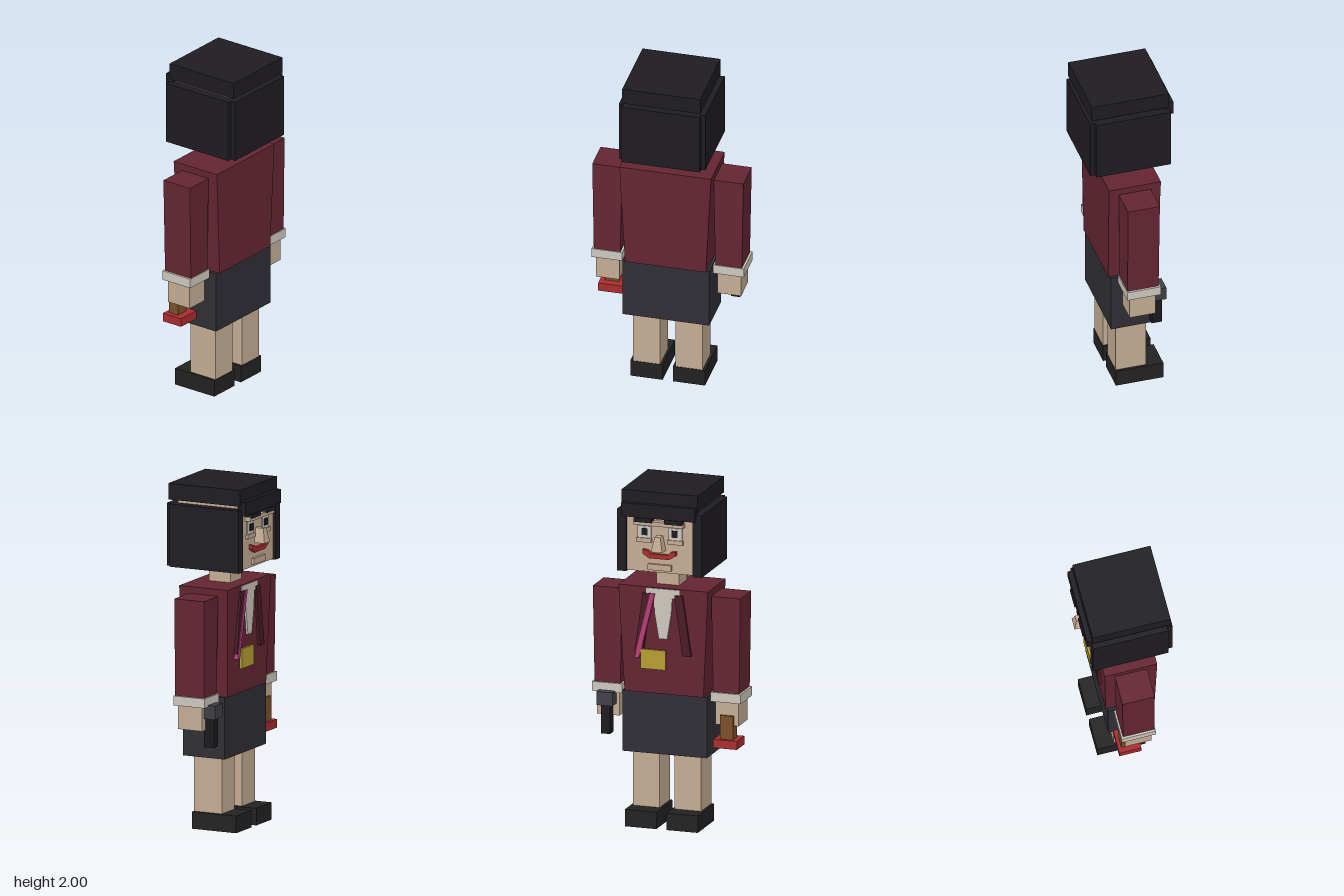
import * as THREE from 'three';

const COLORS = {
  hair: 0x1e1c22, skin: 0xc4ac93, jacket: 0x642533, lapel: 0x4a1a26, skirt: 0x2f2e35,
  shoe: 0x222222, white: 0xcdc8be, red: 0xa82c2f, brown: 0x7a5028, gold: 0xb89e32,
  pink: 0xb83c78, grey: 0x3f4047, black: 0x1b1b1e,
};
const mats = {};
const mat = (c) => (mats[c] ??= new THREE.MeshStandardMaterial({ color: COLORS[c], flatShading: true }));

export function createModel() {
  const model = new THREE.Group();

  const add = (name, geo, color) => {
    const mesh = new THREE.Mesh(geo, mat(color));
    mesh.name = name;
    model.add(mesh);
    return mesh;
  };

  // Box given by its extents on each axis
  const box = (name, color, [x0, x1], [y0, y1], [z0, z1]) => {
    const geo = new THREE.BoxGeometry(Math.abs(x1 - x0), y1 - y0, z1 - z0);
    geo.translate((x0 + x1) / 2, (y0 + y1) / 2, (z0 + z1) / 2);
    return add(name, geo, color);
  };

  // Box whose bottom face has different x and z extents from its top face
  const taper = (name, color, [y0, y1], top, bottom) => {
    const geo = new THREE.BoxGeometry(1, 1, 1);
    const p = geo.attributes.position;
    for (let i = 0; i < p.count; i++) {
      const [x0, x1, z0, z1] = p.getY(i) > 0 ? top : bottom;
      p.setXYZ(i, p.getX(i) > 0 ? x1 : x0, p.getY(i) > 0 ? y1 : y0, p.getZ(i) > 0 ? z1 : z0);
    }
    geo.computeVertexNormals();
    return add(name, geo, color);
  };

  // Flat outline in x and y, extruded between two depths
  const plate = (name, color, points, [z0, z1]) => {
    const shape = new THREE.Shape(points.map(([x, y]) => new THREE.Vector2(x, y)));
    const geo = new THREE.ExtrudeGeometry(shape, { depth: z1 - z0, bevelEnabled: false });
    geo.translate(0, 0, z0);
    return add(name, geo, color);
  };

  // Slanted strip of constant width between two heights
  const strip = (name, color, [xt, yt], [xb, yb], w, z) =>
    plate(name, color, [[xb - w, yb], [xb + w, yb], [xt + w, yt], [xt - w, yt]], z);

  // Head, neck and hair
  box('head', 'skin', [-0.2, 0.2], [1.525, 1.915], [-0.2, 0.205]);
  box('neck', 'skin', [-0.068, 0.068], [1.4, 1.53], [-0.065, 0.072]);
  box('hairTop', 'hair', [-0.23, 0.23], [1.905, 2], [-0.21, 0.25]);
  box('hairBack', 'hair', [-0.23, 0.23], [1.52, 1.885], [0.19, 0.26]);
  box('fringe', 'hair', [-0.222, 0.222], [1.85, 1.93], [-0.24, -0.19]);

  // Face centre line
  taper('nose', 'skin', [1.66, 1.745], [-0.017, 0.017, -0.25, -0.19], [-0.034, 0.034, -0.265, -0.19]);
  box('browRidge', 'skin', [-0.15, 0.15], [1.805, 1.83], [-0.235, -0.19]);
  plate('lips', 'red', [
    [-0.1, 1.635], [-0.06, 1.61], [0.06, 1.61], [0.1, 1.635], [0.1, 1.66],
    [0.07, 1.655], [0.05, 1.637], [-0.05, 1.637], [-0.07, 1.655], [-0.1, 1.66],
  ], [-0.222, -0.19]);
  box('chin', 'skin', [-0.07, 0.07], [1.54, 1.575], [-0.217, -0.19]);

  // Clothing of the body
  taper('jacket', 'jacket', [0.79, 1.42], [-0.27, 0.27, -0.15, 0.16], [-0.238, 0.238, -0.135, 0.155]);
  box('skirt', 'skirt', [-0.255, 0.255], [0.43, 0.79], [-0.125, 0.143]);
  plate('shirtFront', 'white', [
    [-0.025, 1.12], [0.025, 1.12], [0.05, 1.27], [0.055, 1.36], [0.1, 1.385],
    [0.1, 1.415], [-0.1, 1.415], [-0.1, 1.385], [-0.055, 1.36], [-0.05, 1.27],
  ], [-0.155, -0.13]);

  // Mirrored parts
  for (const s of [-1, 1]) {
    const mx = (a, b) => (s > 0 ? [a, b] : [-b, -a]);
    box('sideHair', 'hair', mx(0.2, 0.255), [1.52, 1.885], [-0.215, 0.23]);
    box('eyebrow', 'hair', mx(0.038, 0.145), [1.825, 1.85], [-0.247, -0.19]);
    box('eye', 'white', mx(0.053, 0.133), [1.725, 1.795], [-0.208, -0.19]);
    box('pupil', 'black', mx(0.073, 0.108), [1.742, 1.782], [-0.214, -0.19]);
    box('lowerEyelid', 'skin', mx(0.05, 0.14), [1.7, 1.725], [-0.216, -0.19]);

    strip('lapel', 'lapel', [s * 0.095, 1.385], [s * 0.145, 1.03], 0.025, [-0.16, -0.125]);

    taper('sleeve', 'jacket', [0.81, 1.38], [...mx(0.27, 0.445), -0.09, 0.1], [...mx(0.28, 0.436), -0.085, 0.1]);
    box('cuff', 'white', mx(0.268, 0.449), [0.76, 0.815], [-0.095, 0.105]);
    box('hand', 'skin', mx(0.29, 0.428), [0.62, 0.77], [-0.07, 0.085]);
    box('leg', 'skin', mx(0.045, 0.205), [0.08, 0.44], [-0.08, 0.1]);
    box('shoe', 'shoe', mx(0.03, 0.22), [0, 0.1], [-0.18, 0.103]);
  }

  // Lanyard and badge
  strip('lanyard', 'pink', [0.06, 1.385], [0.155, 1.0], 0.014, [-0.164, -0.13]);
  box('badge', 'gold', [-0.02, 0.13], [0.94, 1.055], [-0.17, -0.155]);

  // Stamp held in one hand
  box('stampHandle', 'brown', [-0.4, -0.32], [0.53, 0.68], [-0.085, -0.02]);
  box('stampBase', 'red', [-0.43, -0.287], [0.49, 0.54], [-0.105, 0.025]);

  // Microphone held in the other hand
  box('microphoneHandle', 'black', [0.33, 0.385], [0.52, 0.7], [-0.122, -0.06]);
  box('microphoneHead', 'grey', [0.31, 0.407], [0.69, 0.77], [-0.14, -0.05]);

  return model;
}
